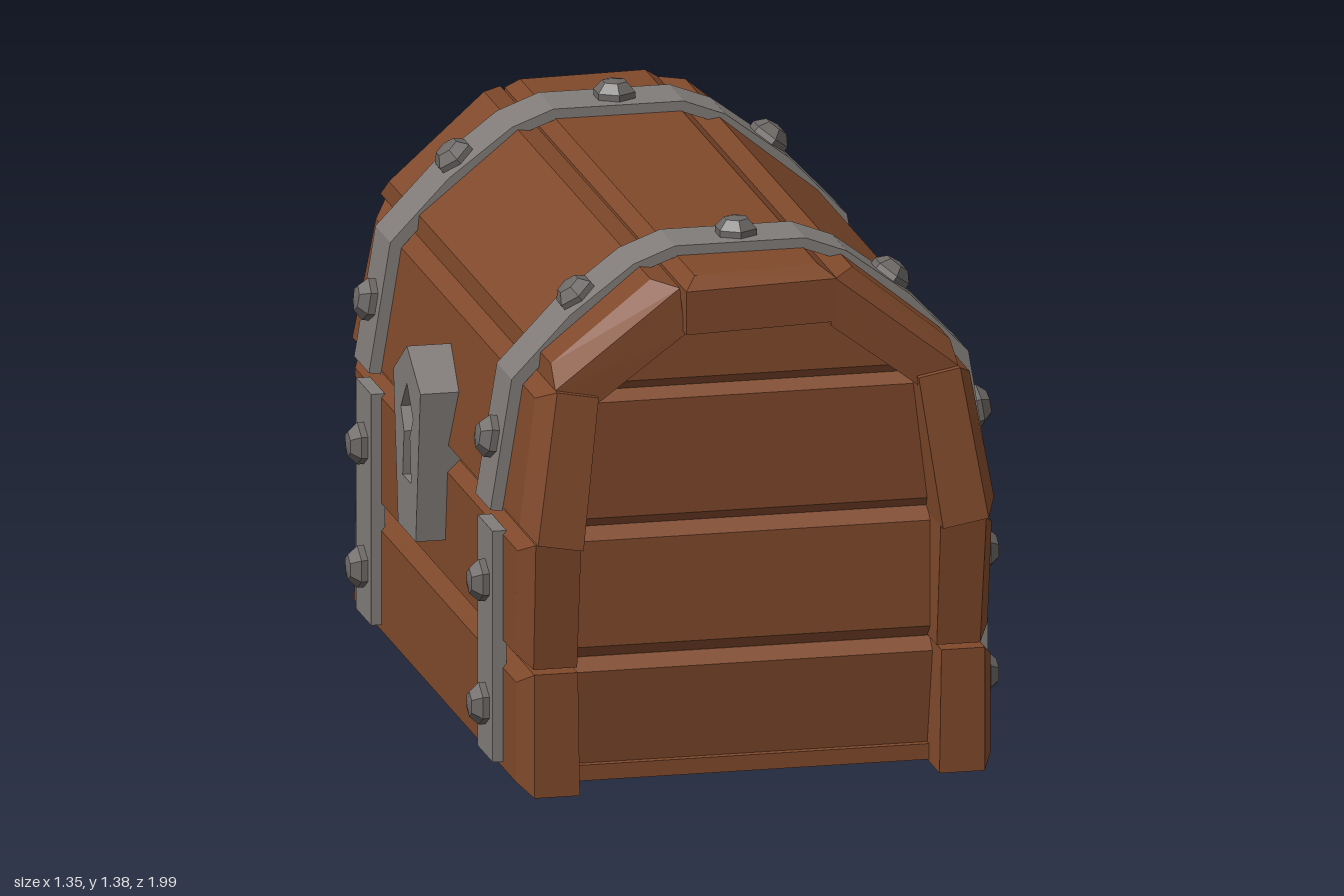
import * as THREE from 'three';

const mat = (name, color) => Object.assign(new THREE.MeshStandardMaterial({ color }), { name });

// Flat-faced copy of a geometry
function facet(geo) {
  const g = geo.index ? geo.toNonIndexed() : geo;
  g.computeVertexNormals();
  return g;
}

// Bevelled plank along z. Profile: inner, edge, face, face, edge, inner (counter-clockwise).
// ends = [front at start, front at end, back at start, back at end]; the outer face is inset.
function plankGeometry(profile, ends, inset = 0.07, mirror = false) {
  const [f0, f1, b0, b1] = ends;
  let ring = profile.map(([x, y], i) => {
    const t = i < 3 ? 0 : 1;
    const cut = i === 2 || i === 3 ? inset : 0;
    return [x, y, (t ? f1 : f0) - cut, (t ? b1 : b0) + cut];
  });
  if (mirror) ring = ring.map(([x, y, f, b]) => [-x, y, f, b]).reverse();
  const pos = [];
  ring.forEach(([x, y, f]) => pos.push(x, y, f));
  ring.forEach(([x, y, , b]) => pos.push(x, y, b));
  const idx = [];
  const quad = (a, b, c, d) => idx.push(a, b, c, a, c, d);
  for (let i = 0; i < 6; i++) {
    const j = (i + 1) % 6;
    quad(i, i + 6, j + 6, j);
  }
  for (const [a, b, c, d] of [[0, 1, 4, 5], [1, 2, 3, 4]]) {
    quad(a, b, c, d);
    quad(d + 6, c + 6, b + 6, a + 6);
  }
  const g = new THREE.BufferGeometry();
  g.setAttribute('position', new THREE.Float32BufferAttribute(pos, 3));
  g.setIndex(idx);
  return facet(g);
}

export function createModel() {
  const wood = mat('wood', 0x80492b);
  const iron = mat('iron', 0x817c79);
  const boltIron = mat('boltIron', 0x6b6765);
  const model = new THREE.Group();
  model.name = 'chest';
  const add = (name, geo, material, parent = model) => {
    const m = new THREE.Mesh(geo, material);
    m.name = name;
    parent.add(m);
    return m;
  };

  // Long planks of the body and the lid, mirrored to both sides
  const planks = [
    ['lowerSidePlank', [[0.455, 0], [0.57, 0], [0.6, 0.025], [0.6, 0.28], [0.57, 0.315], [0.46, 0.315]],
      [0.96, 0.96, -0.92, -0.905]],
    ['upperSidePlank', [[0.455, 0.32], [0.565, 0.32], [0.6, 0.35], [0.6, 0.62], [0.57, 0.65], [0.455, 0.65]],
      [0.93, 0.975, -0.885, -0.91]],
    ['lowerLidPlank', [[0.455, 0.635], [0.57, 0.655], [0.6, 0.69], [0.55, 1.0], [0.51, 1.03], [0.405, 1.01]],
      [1.0, 0.95, -0.94, -0.9]],
    ['upperLidPlank', [[0.41, 0.985], [0.51, 1.03], [0.505, 1.08], [0.255, 1.283], [0.197, 1.275], [0.185, 1.155]],
      [0.93, 0.94, -0.95, -0.99]],
  ];
  for (const [name, profile, ends] of planks) {
    add(name + 'Left', plankGeometry(profile, ends), wood);
    add(name + 'Right', plankGeometry(profile, ends, 0.07, true), wood);
  }
  add('topPlank', plankGeometry(
    [[0.2, 1.165], [0.2, 1.275], [0.16, 1.305], [-0.16, 1.305], [-0.19, 1.275], [-0.19, 1.165]],
    [0.94, 0.98, -0.99, -0.975], 0.04), wood);

  // Recessed boards closing both ends: bottom, top, half width below and above, face depths
  const boards = [
    [0.01, 0.318, 0.5, 0.5, 0.825, 0.865],
    [0.315, 0.65, 0.5, 0.5, 0.86, 0.86],
    [0.64, 1.005, 0.5, 0.45, 0.85, 0.87],
    [0.99, 1.2, 0.45, 0.16, 0.865, 0.865],
  ];
  for (const [end, turn, shift] of [['front', -1, 0], ['back', 1, -0.035]]) {
    boards.forEach(([y0, y1, w0, w1, d0, d1], i) => {
      const a = d0 + shift, b = d1 + shift;
      const geo = plankGeometry(
        [[0.72, y0], [a - 0.035, y0], [a, y0 + 0.035], [b, y1 - 0.03], [b - 0.035, y1], [0.72, y1]],
        [w0, w1, -w0, -w1], 0);
      add(`${end}Board${i + 1}`, geo.rotateY(turn * Math.PI / 2), wood);
    });
  }

  // Floor
  add('floor', new THREE.BoxGeometry(0.96, 0.04, 1.67).translate(0, 0.025, 0.01), wood);

  // Iron straps with bolts
  const outer = [[0.632, 0.685], [0.578, 1.015], [0.43, 1.17], [0.27, 1.29], [0.165, 1.33]];
  const inner = [[0.602, 0.68], [0.55, 1.0], [0.41, 1.145], [0.255, 1.268], [0.16, 1.303]];
  const flip = (pts) => pts.map(([x, y]) => [-x, y]);
  const outline = [...outer, ...flip(outer).reverse(), ...flip(inner), ...[...inner].reverse()];
  const bandShape = new THREE.Shape(outline.map(([x, y]) => new THREE.Vector2(x, y)));
  const boltGeo = facet(new THREE.LatheGeometry(
    [[0.054, -0.01], [0.054, 0.018], [0.032, 0.042], [0, 0.048]].map(([x, y]) => new THREE.Vector2(x, y)), 6));
  // Bolt position and outward lean from straight up
  const bolts = [[0.625, 0.17, 90], [0.625, 0.485, 90], [0.605, 0.85, 81], [0.392, 1.195, 38]];
  const width = 0.16;
  for (const [place, z] of [['front', 0.67], ['back', -0.635]]) {
    const strap = new THREE.Group();
    strap.name = place + 'Strap';
    strap.position.z = z;
    model.add(strap);
    add('lidBand', new THREE.ExtrudeGeometry(bandShape, { depth: width, bevelEnabled: false })
      .translate(0, 0, -width / 2), iron, strap);
    const addBolt = (x, y, lean) => {
      const bolt = add('bolt', boltGeo, boltIron, strap);
      bolt.position.set(x, y, 0);
      bolt.rotation.set(0, Math.abs(lean) > 60 ? Math.PI / 6 : 0, -lean * Math.PI / 180, 'ZYX');
    };
    for (const s of [1, -1]) {
      add('bodyBand', new THREE.BoxGeometry(0.035, 0.59, width).translate(s * 0.609, 0.335, 0), iron, strap);
      for (const [x, y, lean] of bolts) addBolt(s * x, y, s * lean);
    }
    addBolt(0.008, 1.328, 0);
  }

  // Lock plate with a keyhole, on the right side
  const toPath = (pts, Type) => new Type(pts.map(([x, y]) => new THREE.Vector2(x, y)));
  const plate = toPath([[-0.095, 0.44], [0.095, 0.44], [0.105, 0.515], [0.145, 0.83], [0, 0.915], [-0.145, 0.82]],
    THREE.Shape);
  plate.holes.push(toPath([[-0.045, 0.575], [-0.03, 0.69], [-0.065, 0.745], [0, 0.82], [0.065, 0.745],
    [0.03, 0.69], [0.045, 0.575]], THREE.Path));
  const lock = new THREE.Group();
  lock.name = 'lock';
  lock.rotation.y = -Math.PI / 2;
  lock.position.set(-0.54, 0, 0.035);
  model.add(lock);
  add('lockPlate', new THREE.ExtrudeGeometry(plate, { depth: 0.135, bevelEnabled: false }), iron, lock);
  add('keyholeBack', new THREE.BoxGeometry(0.16, 0.28, 0.02).translate(0, 0.7, 0.075), iron, lock);
  return model;
}
